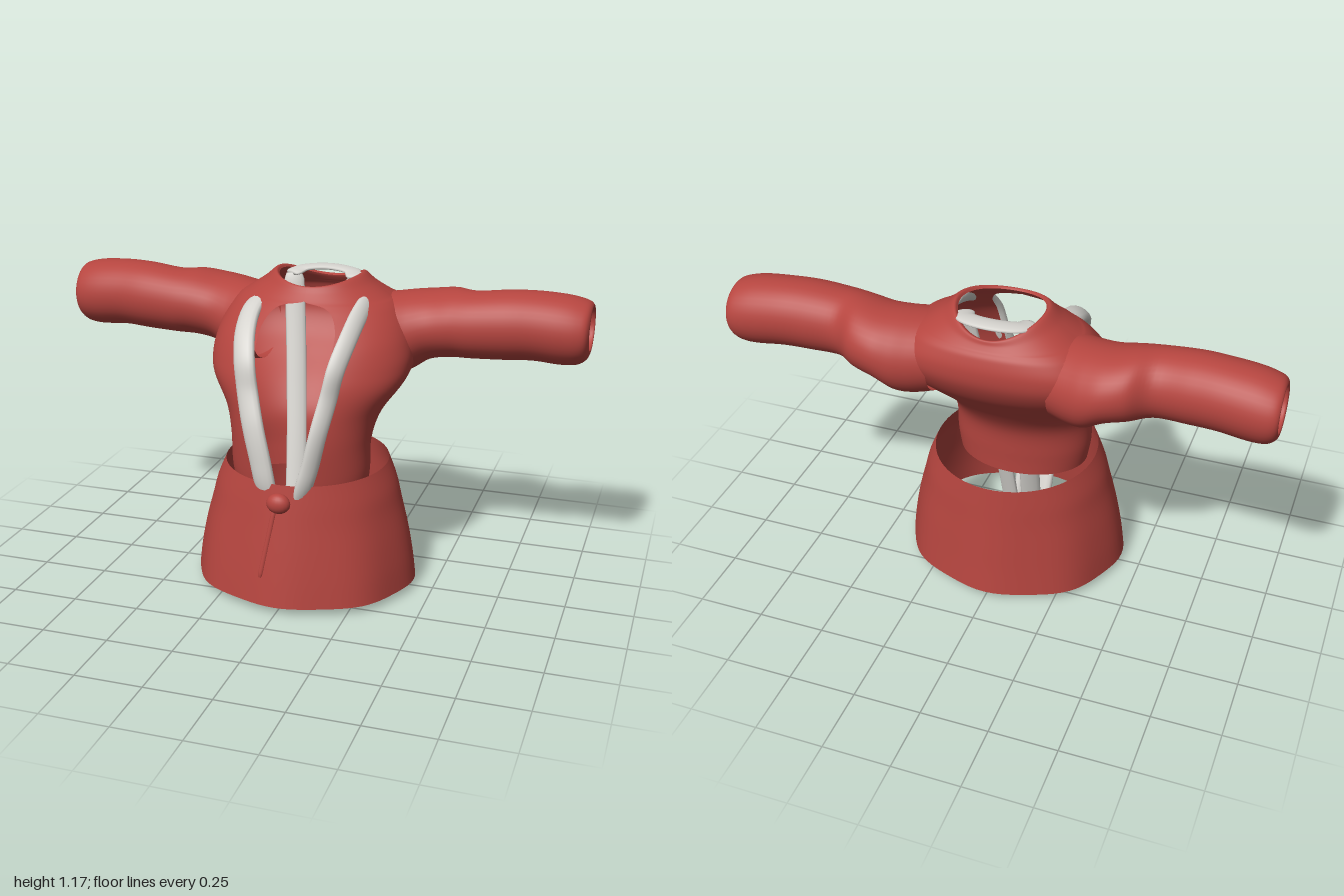
import * as THREE from 'three';

const red = new THREE.MeshStandardMaterial({ color: 0xb5453f, side: THREE.DoubleSide });
red.name = 'red cloth';
const white = new THREE.MeshStandardMaterial({ color: 0xd6d4cf, side: THREE.DoubleSide });
white.name = 'white trim';

// Smoothly resample a table of cross-section rows to n + 1 rows
function resample(rows, n) {
  const curves = rows[0].map((_, k) => new THREE.SplineCurve(rows.map((r, i) => new THREE.Vector2(i, r[k]))));
  return Array.from({ length: n + 1 }, (_, i) => curves.map((c) => c.getPoint(i / n).y));
}

// Surface through a grid of points; quads whose centre passes skip() are left out
function loft(grid, closed, skip = () => false) {
  const cols = grid[0].length, index = [];
  for (let i = 0; i < grid.length - 1; i++) {
    for (let j = 0; j < (closed ? cols : cols - 1); j++) {
      const k = (j + 1) % cols;
      const mid = grid[i][j].clone().add(grid[i + 1][k]).multiplyScalar(0.5);
      if (skip(mid)) continue;
      const a = i * cols + j, b = i * cols + k;
      index.push(a, b, a + cols, b, b + cols, a + cols);
    }
  }
  const geo = new THREE.BufferGeometry().setFromPoints(grid.flat());
  geo.setIndex(index);
  geo.computeVertexNormals();
  return geo;
}

function part(parent, name, geo, mat) {
  const mesh = new THREE.Mesh(geo, mat);
  mesh.name = name;
  parent.add(mesh);
  return mesh;
}

// Flat rounded band along a path, facing roughly towards `face`
function strap(points, halfWidth, halfThick, face, n = 40) {
  const curve = new THREE.CatmullRomCurve3(points.map((p) => new THREE.Vector3(...p)));
  const facing = new THREE.Vector3(...face), grid = [];
  for (let i = -1; i <= n + 1; i++) {
    const t = THREE.MathUtils.clamp(i / n, 0, 1);
    const size = i < 0 || i > n ? 0.001 : Math.min(1, 0.75 + 6 * Math.min(t, 1 - t));
    const p = curve.getPoint(t), T = curve.getTangent(t);
    const W = T.clone().cross(facing).normalize();
    const N = T.clone().cross(W);
    grid.push(Array.from({ length: 14 }, (_, j) => {
      const a = (j / 14) * Math.PI * 2;
      return p.clone().addScaledVector(W, halfWidth * size * Math.cos(a))
        .addScaledVector(N, halfThick * size * Math.sin(a));
    }));
  }
  return loft(grid, true);
}

// Bodice: y, half width, front z, back z, half opening, drop at front, drop at back, back roundness
function bodice() {
  const rows = [
    [0.40, 0.25, 0.25, -0.105, 0.07, 0, 0, 1],
    [0.48, 0.262, 0.26, -0.11, 0.08, 0, 0, 1],
    [0.60, 0.265, 0.272, -0.125, 0.105, 0, 0, 1],
    [0.70, 0.292, 0.267, -0.185, 0.125, 0, 0, 0.9],
    [0.80, 0.36, 0.245, -0.275, 0.138, 0, 0, 0.7],
    [0.87, 0.378, 0.22, -0.335, 0.143, 0, 0, 0.5],
    [0.94, 0.37, 0.185, -0.372, 0.143, 0, 0, 0.4],
    [1.00, 0.35, 0.135, -0.378, 0.14, 0, 0, 0.4],
    [1.05, 0.32, 0.085, -0.365, 0.115, 0, 0, 0.5],
    [1.075, 0.295, 0.058, -0.352, 0.075, 0, 0.004, 0.6],
    [1.09, 0.27, 0.042, -0.345, 0, 0, 0.01, 0.7],
    [1.13, 0.21, 0.02, -0.335, 0, 0.015, 0.035, 0.9],
    [1.165, 0.168, 0.005, -0.328, 0, 0.03, 0.055, 1],
    [1.155, 0.152, -0.008, -0.315, 0, 0.025, 0.05, 1],
  ];
  const cols = 120;
  const grid = resample(rows, 78).map(([y, rx, zf, zb, gap, df, db, round]) => {
    const start = Math.asin(Math.max(0, gap) / rx), mid = (zf + zb) / 2, rz = (zf - zb) / 2;
    return Array.from({ length: cols + 1 }, (_, j) => {
      const a = start + (j / cols) * (Math.PI * 2 - 2 * start), c = Math.cos(a);
      const depth = c > 0 ? c : -Math.pow(-c, round);
      return new THREE.Vector3(rx * Math.sin(a), y - c * c * (c > 0 ? df : db), mid + rz * depth);
    });
  });
  // Armholes leading into the sleeves
  const armhole = (p) => Math.abs(p.x) > 0.27 && Math.hypot((p.y - 0.985) / 0.095, (p.z + 0.225) / 0.11) < 1;
  return loft(grid, false, armhole);
}

// Sleeve: x, top y, bottom y, back z, front z; the cuff turns back inside
function sleeve(side) {
  const rows = [
    [0.22, 1.085, 0.80, -0.345, -0.01],
    [0.29, 1.092, 0.79, -0.37, -0.022],
    [0.35, 1.098, 0.80, -0.386, -0.045],
    [0.42, 1.104, 0.843, -0.39, -0.066],
    [0.50, 1.115, 0.86, -0.37, -0.068],
    [0.58, 1.116, 0.868, -0.318, -0.066],
    [0.70, 1.128, 0.872, -0.325, -0.07],
    [0.80, 1.130, 0.876, -0.336, -0.08],
    [0.90, 1.124, 0.868, -0.345, -0.086],
    [0.96, 1.113, 0.872, -0.345, -0.096],
    [0.992, 1.10, 0.893, -0.336, -0.113],
    [0.998, 1.082, 0.922, -0.32, -0.148],
    [0.95, 1.085, 0.915, -0.325, -0.14],
  ];
  const grid = resample(rows, 72).map(([x, top, bottom, back, front]) =>
    Array.from({ length: 40 }, (_, j) => {
      const a = (j / 40) * Math.PI * 2 * side;
      return new THREE.Vector3(side * x, (top + bottom) / 2 + ((top - bottom) / 2) * Math.cos(a),
        (back + front) / 2 + ((front - back) / 2) * Math.sin(a));
    }));
  return loft(grid, true);
}

// Skirt: y, half width, front z, back z, ripple depth
function skirt() {
  const rows = [
    [0.027, 0.427, 0.388, -0.38, 0.012],
    [0.12, 0.414, 0.373, -0.368, 0.01],
    [0.22, 0.393, 0.356, -0.357, 0.008],
    [0.32, 0.365, 0.338, -0.346, 0.005],
    [0.40, 0.342, 0.324, -0.338, 0.002],
    [0.48, 0.307, 0.31, -0.33, 0],
  ];
  const grid = resample(rows, 24).map(([y, rx, zf, zb, ripple]) =>
    Array.from({ length: 80 }, (_, j) => {
      const a = (j / 80) * Math.PI * 2, k = 1 - ripple * (1 - Math.cos(8 * a));
      return new THREE.Vector3(rx * k * Math.sin(a), y, (zf + zb) / 2 + ((zf - zb) / 2) * k * Math.cos(a));
    }));
  return loft(grid, true);
}

export function createModel() {
  const model = new THREE.Group();
  model.name = 'jacket';

  part(model, 'bodice', bodice(), red);
  part(model, 'skirt', skirt(), red);
  part(model, 'leftSleeve', sleeve(1), red);
  part(model, 'rightSleeve', sleeve(-1), red);

  // Lapel bands run from the shoulders, tuck behind the skirt and hang inside it
  part(model, 'rightLapel', strap([
    [-0.19, 1.075, -0.065], [-0.2, 1.045, 0.04], [-0.187, 0.985, 0.15], [-0.165, 0.9, 0.22], [-0.148, 0.8, 0.24],
    [-0.115, 0.68, 0.278], [-0.085, 0.56, 0.29], [-0.065, 0.45, 0.285], [-0.052, 0.3, 0.22], [-0.045, 0.008, 0.1],
  ], 0.043, 0.022, [-0.3, 0.6, 1], 60), white);
  part(model, 'leftLapel', strap([
    [0.212, 1.085, -0.07], [0.205, 1.05, 0.04], [0.195, 0.985, 0.15], [0.175, 0.9, 0.22], [0.155, 0.8, 0.24],
    [0.13, 0.68, 0.278], [0.105, 0.56, 0.29], [0.075, 0.45, 0.29], [0.045, 0.3, 0.22], [0.035, 0.008, 0.1],
  ], 0.035, 0.018, [0.8, 0.5, 0.8], 60), white);

  // Inner straps hang from the neck loop
  for (const s of [-1, 1]) {
    part(model, s > 0 ? 'leftInnerStrap' : 'rightInnerStrap', strap([
      [s * 0.12, 1.13, -0.21], [s * 0.105, 1.0, -0.18], [s * 0.08, 0.75, -0.115],
      [s * 0.055, 0.45, -0.035], [s * 0.037, 0.006, 0.075],
    ], 0.038, 0.014, [s * -0.3, 0, 1]), white);
  }
  part(model, 'neckLoop', strap([
    [-0.125, 1.13, -0.2], [-0.095, 1.14, -0.255], [0, 1.146, -0.28], [0.095, 1.14, -0.255], [0.125, 1.13, -0.2],
  ], 0.036, 0.01, [0, 1, 0]), white);

  // Knot and hanging cord
  const knot = part(model, 'knot', new THREE.SphereGeometry(0.045, 20, 14), red);
  knot.scale.set(1, 0.85, 0.7);
  knot.position.set(-0.005, 0.413, 0.322);
  part(model, 'cord', strap([
    [-0.02, 0.39, 0.322], [-0.04, 0.27, 0.341], [-0.065, 0.13, 0.362],
  ], 0.01, 0.008, [0, 0, 1], 16), red);

  return model;
}
